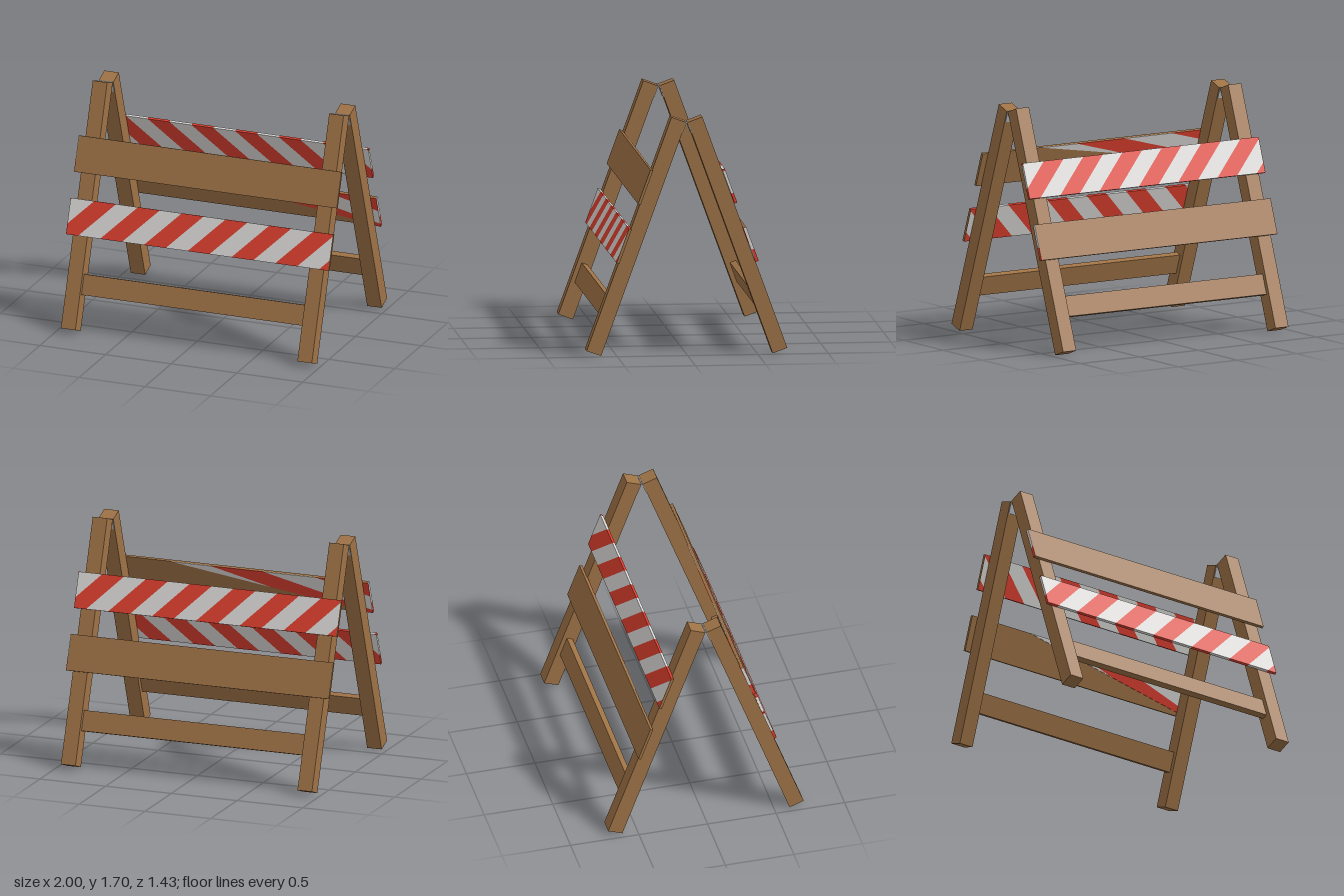
import * as THREE from 'three';

const mat = (name, color) => {
  const m = new THREE.MeshStandardMaterial({ color });
  m.name = name;
  return m;
};

// Keep the part of a convex polygon where f(point) >= 0
function clip(poly, f) {
  const out = [];
  poly.forEach((p, i) => {
    const q = poly[(i + 1) % poly.length];
    const a = f(p), b = f(q);
    if (a >= 0) out.push(p);
    if ((a > 0 && b < 0) || (a < 0 && b > 0)) {
      const t = a / (a - b);
      out.push([p[0] + (q[0] - p[0]) * t, p[1] + (q[1] - p[1]) * t]);
    }
  });
  return out;
}

export function createModel() {
  const wood = mat('wood', 0x9e7246);
  const red = mat('red paint', 0xde3f2f);
  const white = mat('white paint', 0xdad9d7);
  const steel = mat('hinge steel', 0xb9bec4);

  const TILT = THREE.MathUtils.degToRad(20);
  const LEG = 1.765, W = 0.11;      // leg length and section
  const BOARD_H = 0.259, T = 0.02;  // board height and thickness
  const CAP = 0.004;                // paint plate thickness

  // Box given by its min and max corners
  function box(parent, name, material, a, b) {
    const m = new THREE.Mesh(
      new THREE.BoxGeometry(b[0] - a[0], b[1] - a[1], b[2] - a[2]), material);
    m.position.set((a[0] + b[0]) / 2, (a[1] + b[1]) / 2, (a[2] + b[2]) / 2);
    m.name = name;
    parent.add(m);
  }

  // Fill a convex outline with slanted red and white bands, cut through its depth
  function stripes(parent, name, outline, y0, z, depth, start, period, shift) {
    const g = new THREE.Group();
    g.name = name;
    g.position.set(0, y0, z);
    const s = (p) => p[0] - (p[1] / BOARD_H) * shift;
    for (let i = -16; i < 20; i++) {
      const lo = start + (i * period) / 2, hi = lo + period / 2;
      const band = clip(clip(outline, (p) => s(p) - lo), (p) => hi - s(p));
      if (band.length < 3) continue;
      const shape = new THREE.Shape(band.map((p) => new THREE.Vector2(p[0], p[1])));
      const m = new THREE.Mesh(
        new THREE.ExtrudeGeometry(shape, { depth, bevelEnabled: false }),
        i % 2 === 0 ? red : white);
      m.name = i % 2 === 0 ? 'redBand' : 'whiteBand';
      g.add(m);
    }
    parent.add(g);
  }

  function stripedBoard(parent, y) {
    const e = 1 - CAP;
    const outline = [[-1, 0], [e, 0], [e, BOARD_H], [-1, BOARD_H]];
    stripes(parent, 'stripedBoard', outline, y, W, T, -1.075, 1 / 3, 0.255);
    box(parent, 'boardEndWood', wood, [e, y, W], [1, y + BOARD_H, W + T]);
  }

  function plainBoard(parent, y) {
    const e = -1 + CAP, mid = y + BOARD_H * 0.36;
    box(parent, 'plainBoard', wood, [e, y, W], [1, y + BOARD_H, W + T]);
    // painted end
    box(parent, 'boardEndRed', red, [-1, y, W], [e, mid, W + T]);
    box(parent, 'boardEndWhite', white, [-1, mid, W], [e, y + BOARD_H, W + T]);
    // painted wedge on the inner face
    const wedge = [[-1, 0], [0.5, BOARD_H], [-1, BOARD_H]];
    stripes(parent, 'innerPaintWedge', wedge, y, W - CAP, CAP, -1.9, 0.8, 0.9);
  }

  // One leaning side: legs, lower rail, hinge leaves and two boards
  function frame(name, plainY, stripedY) {
    const side = new THREE.Group();
    side.name = name;
    const lean = new THREE.Group();
    lean.name = 'leaningFrame';
    lean.position.z = 0.61;
    lean.rotation.x = -TILT;
    side.add(lean);
    for (const x of [-0.9, 0.9]) {
      box(lean, 'leg', wood, [x - W / 2, 0, 0], [x + W / 2, LEG, W]);
      box(lean, 'hingeLeaf', steel, [x - 0.05, LEG - 0.085, -0.005], [x + 0.05, LEG, 0]);
    }
    box(lean, 'lowerRail', wood, [-0.845, 0.2525, 0.034], [0.845, 0.4, 0.079]);
    plainBoard(lean, plainY);
    stripedBoard(lean, stripedY);
    return side;
  }

  const model = new THREE.Group();
  model.name = 'foldingBarricade';
  const LOW = 0.664, HIGH = 1.109;
  const front = frame('frontFrame', HIGH, LOW);
  const back = frame('backFrame', LOW, HIGH);
  back.rotation.y = Math.PI;
  model.add(front, back);

  // Hinge pins at the apex
  for (const x of [-0.9, 0.9]) {
    const pin = new THREE.Mesh(new THREE.CylinderGeometry(0.006, 0.006, 0.1, 8), steel);
    pin.rotation.z = Math.PI / 2;
    pin.position.set(x, 1.657, 0);
    pin.name = 'hingePin';
    model.add(pin);
  }
  return model;
}
